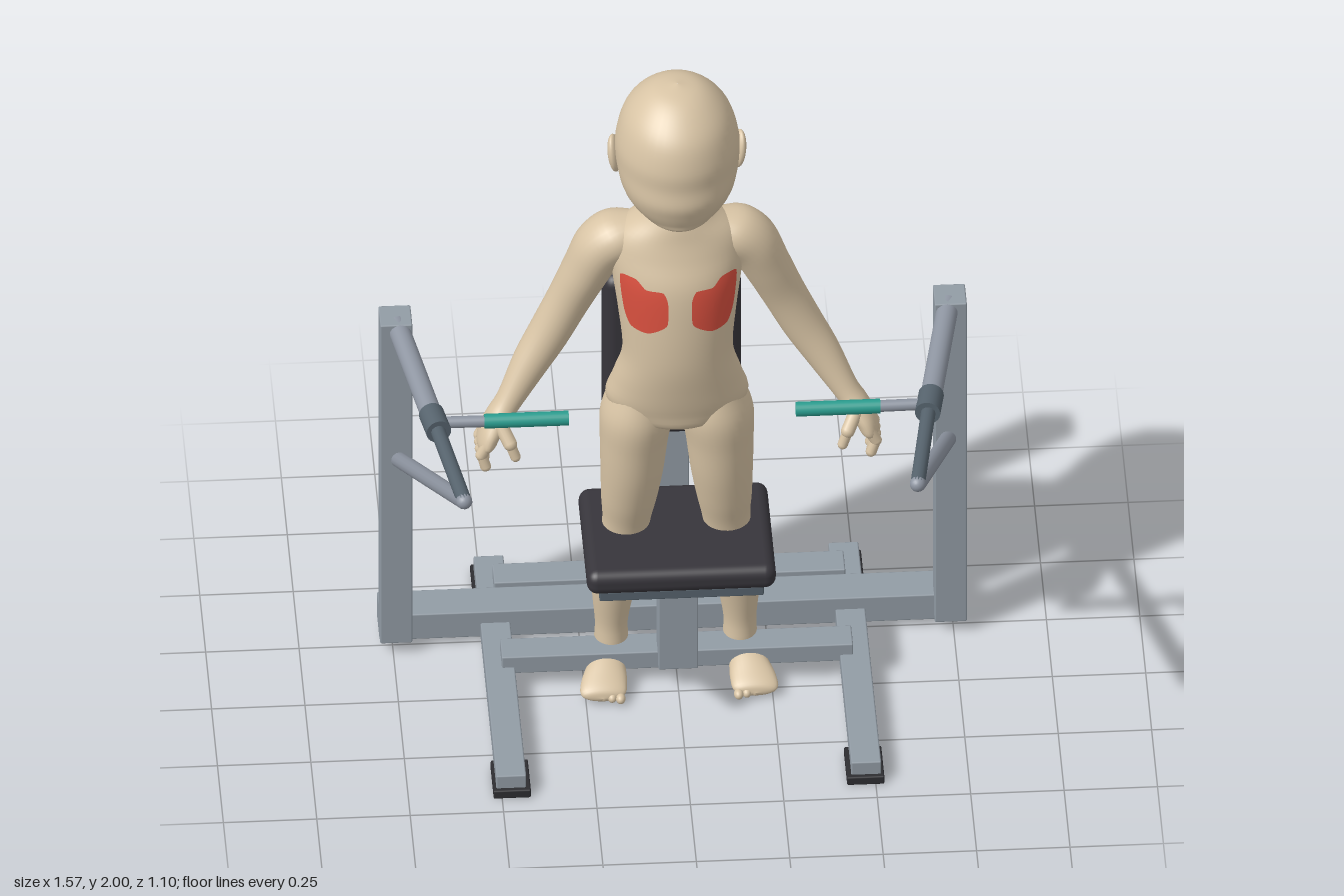
import * as THREE from 'three';
import { RoundedBoxGeometry } from 'three/addons/geometries/RoundedBoxGeometry.js';

const mat = (name, color, side = THREE.FrontSide) => {
  const m = new THREE.MeshStandardMaterial({ color, side });
  m.name = name;
  return m;
};
const V = (x, y, z) => new THREE.Vector3(x, y, z);

// Smooth cross-section at parameter t through rows of [x, y, z, rx, rz, tilt]
function sampler(rows) {
  const pos = new THREE.CatmullRomCurve3(rows.map(r => V(r[0], r[1], r[2])), false, 'catmullrom', 0.5);
  const rad = new THREE.CatmullRomCurve3(rows.map(r => V(r[3], r[4], r[5] || 0)), false, 'catmullrom', 0.5);
  return t => ({ p: pos.getPoint(t), r: rad.getPoint(t) });
}

// Closed skin over elliptical rings, listed from top to bottom
function loft(rows, seg = 32, sub = 5) {
  const at = sampler(rows), n = (rows.length - 1) * sub, pts = [], idx = [];
  for (let i = 0; i <= n; i++) {
    const { p, r } = at(i / n);
    for (let j = 0; j < seg; j++) {
      const a = (j / seg) * Math.PI * 2, x = Math.max(r.x, 0.0005) * Math.cos(a);
      pts.push(p.x + x * Math.cos(r.z), p.y + x * Math.sin(r.z), p.z + Math.max(r.y, 0.0005) * Math.sin(a));
      if (i < n) {
        const A = i * seg + j, B = i * seg + (j + 1) % seg;
        idx.push(A, B, A + seg, B, B + seg, A + seg);
      }
    }
  }
  const g = new THREE.BufferGeometry();
  g.setAttribute('position', new THREE.Float32BufferAttribute(pts, 3));
  g.setIndex(idx);
  g.computeVertexNormals();
  return g;
}

const TORSO = [
  [0, 1.67, -0.085, 0.07, 0.065], [0, 1.6, -0.095, 0.075, 0.068], [0, 1.55, -0.095, 0.1, 0.09],
  [0, 1.5, -0.097, 0.16, 0.105], [0, 1.45, -0.095, 0.18, 0.12], [0, 1.37, -0.08, 0.174, 0.135],
  [0, 1.25, -0.063, 0.158, 0.131], [0, 1.13, -0.045, 0.148, 0.114], [0, 1.03, -0.062, 0.173, 0.118],
  [0, 0.95, -0.08, 0.19, 0.12], [0, 0.895, -0.08, 0.13, 0.1], [0, 0.875, -0.08, 0.001, 0.001]];
const HEAD = [
  [0, 2, -0.06, 0.001, 0.001], [0, 1.985, -0.06, 0.065, 0.07], [0, 1.95, -0.06, 0.112, 0.125],
  [0, 1.9, -0.06, 0.146, 0.168], [0, 1.83, -0.057, 0.165, 0.187], [0, 1.77, -0.052, 0.165, 0.183],
  [0, 1.72, -0.036, 0.156, 0.172], [0, 1.68, -0.024, 0.14, 0.15], [0, 1.645, -0.008, 0.11, 0.12],
  [0, 1.622, 0.02, 0.068, 0.078], [0, 1.613, 0.025, 0.001, 0.001]];
const LEG = [
  [0.1, 0.99, -0.075, 0.07, 0.09], [0.107, 0.9, -0.08, 0.097, 0.114], [0.115, 0.8, -0.08, 0.091, 0.105],
  [0.12, 0.7, -0.08, 0.084, 0.092], [0.127, 0.6, -0.09, 0.075, 0.08], [0.133, 0.52, -0.1, 0.065, 0.067],
  [0.142, 0.45, -0.11, 0.065, 0.066], [0.158, 0.36, -0.12, 0.068, 0.07], [0.168, 0.25, -0.125, 0.056, 0.056],
  [0.172, 0.15, -0.13, 0.044, 0.046], [0.172, 0.06, -0.135, 0.043, 0.05], [0.172, 0.02, -0.135, 0.001, 0.001]];
const ARM = [
  [0.1, 1.5, -0.11, 0.03, 0.05, 0.9], [0.15, 1.465, -0.115, 0.07, 0.082, 0.8], [0.205, 1.415, -0.12, 0.071, 0.083, 0.65],
  [0.245, 1.33, -0.125, 0.064, 0.074, 0.5], [0.29, 1.23, -0.13, 0.059, 0.062, 0.5], [0.34, 1.13, -0.125, 0.056, 0.058, 0.55],
  [0.395, 1.04, -0.105, 0.049, 0.052, 0.6], [0.45, 0.95, -0.07, 0.036, 0.041, 0.6], [0.478, 0.91, -0.055, 0.034, 0.05, 0.4],
  [0.502, 0.87, -0.045, 0.03, 0.06, 0.2], [0.513, 0.835, -0.043, 0.025, 0.057, 0], [0.515, 0.82, -0.043, 0.001, 0.001, 0]];
// Rows run from toe to heel, with height stored as -z before turning
const FOOT = [
  [0.205, 0.05, -0.02, 0.001, 0.001], [0.204, 0.04, -0.025, 0.055, 0.018], [0.2, 0.0, -0.035, 0.062, 0.03],
  [0.19, -0.06, -0.047, 0.052, 0.042], [0.178, -0.13, -0.05, 0.044, 0.046], [0.173, -0.175, -0.042, 0.037, 0.038],
  [0.172, -0.195, -0.04, 0.001, 0.001]];

// Patch wrapped on the front of the torso, as rings shrinking towards its middle
function chestPatch(s) {
  const outline = new THREE.CatmullRomCurve3([[0.156, 1.4], [0.115, 1.405], [0.09, 1.382], [0.045, 1.38], [0.032, 1.35],
    [0.035, 1.28], [0.085, 1.247], [0.13, 1.253], [0.147, 1.3]].map(p => V(p[0], p[1], 0)), true, 'catmullrom', 0.3);
  const at = sampler(TORSO), rings = 8, seg = 48, pts = [], idx = [];
  for (let i = 0; i <= rings; i++) for (let j = 0; j < seg; j++) {
    const q = outline.getPoint(j / seg).lerp(V(0.092, 1.325, 0), i / rings);
    let lo = 0, hi = 1;
    for (let k = 0; k < 25; k++) {
      const m = (lo + hi) / 2;
      if (at(m).p.y > q.y) lo = m; else hi = m;
    }
    const { p, r } = at(lo), u = q.x / (r.x + 0.004);
    pts.push(s * q.x, q.y, p.z + (r.y + 0.004) * Math.sqrt(Math.max(0, 1 - u * u)));
    if (i < rings) {
      const A = i * seg + j, B = i * seg + (j + 1) % seg;
      if (s > 0) idx.push(A, B, A + seg, B, B + seg, A + seg);
      else idx.push(A, A + seg, B, B, A + seg, B + seg);
    }
  }
  const g = new THREE.BufferGeometry();
  g.setAttribute('position', new THREE.Float32BufferAttribute(pts, 3));
  g.setIndex(idx);
  g.computeVertexNormals();
  return g;
}

export function createModel() {
  const root = new THREE.Group();
  root.name = 'chestPressMachineWithFigure';
  const steel = mat('frame steel', 0x929ca5), tube = mat('tube steel', 0x8e95a1), slate = mat('dark slate', 0x56636d);
  const pad = mat('upholstery', 0x37353b), rubber = mat('rubber', 0x2d2d31), teal = mat('teal grip', 0x2a9d8f);
  const skin = mat('skin', 0xd8c4a5), red = mat('muscle red', 0xd9503f, THREE.DoubleSide);

  const add = (name, geo, m, parent = root) => {
    const o = new THREE.Mesh(geo, m);
    o.name = name;
    parent.add(o);
    return o;
  };
  // Box given by its limits on each axis
  const box = (name, m, x0, x1, y0, y1, z0, z1, round = 0.004) =>
    add(name, new RoundedBoxGeometry(x1 - x0, y1 - y0, z1 - z0, round > 0.01 ? 4 : 1, round), m)
      .position.set((x0 + x1) / 2, (y0 + y1) / 2, (z0 + z1) / 2);
  // Round bar between two points
  const rod = (name, m, a, b, r, capsule = false) => {
    const len = a.distanceTo(b);
    const o = add(name, capsule ? new THREE.CapsuleGeometry(r, len, 6, 14) : new THREE.CylinderGeometry(r, r, len, 24), m);
    o.position.copy(a).add(b).multiplyScalar(0.5);
    o.quaternion.setFromUnitVectors(V(0, 1, 0), b.clone().sub(a).normalize());
  };
  const ball = (name, m, x, y, z, rx, ry, rz) => {
    const o = add(name, new THREE.SphereGeometry(1, 20, 14), m);
    o.position.set(x, y, z);
    o.scale.set(rx, ry, rz);
    return o;
  };

  // Base and uprights
  box('rearBeam', steel, -0.785, 0.785, 0.02, 0.103, -0.353, -0.244);
  box('columnBeam', steel, -0.47, 0.47, 0.045, 0.1, -0.46, -0.374);
  box('seatBeam', steel, -0.47, 0.47, 0.045, 0.1, -0.13, -0.045);
  box('backColumn', steel, -0.053, 0.053, 0.098, 1.505, -0.487, -0.39);
  // Seat and backrest
  box('seatColumn', steel, -0.053, 0.053, 0.065, 0.4, -0.11, -0.01);
  box('seatSleeve', slate, -0.063, 0.063, 0.335, 0.415, -0.122, 0.004);
  box('seatPlate', slate, -0.22, 0.22, 0.41, 0.44, -0.25, 0.13);
  box('seatCushion', pad, -0.253, 0.253, 0.432, 0.505, -0.263, 0.142, 0.03);
  box('backCushion', pad, -0.185, 0.185, 0.655, 1.19, -0.366, -0.262, 0.035);
  box('backBracket', slate, -0.12, 0.12, 0.81, 0.997, -0.435, -0.36);

  // Figure
  add('head', loft(HEAD, 40), skin);
  add('torso', loft(TORSO, 48), skin);

  for (const s of [-1, 1]) {
    const flip = rows => rows.map(r => [s * r[0], r[1], r[2], r[3], r[4], s * (r[5] || 0)]);
    const P = (x, y, z) => V(s * x, y, z);
    const sideBox = (name, m, x, w, ...rest) => box(name, m, s * x - w / 2, s * x + w / 2, ...rest);

    // Frame sides
    sideBox('footRail', steel, 0.475, 0.08, 0.018, 0.066, -0.54, 0.43);
    sideBox('rearFootPad', rubber, 0.473, 0.1, 0, 0.026, -0.557, -0.42);
    sideBox('frontFootPad', rubber, 0.473, 0.1, 0, 0.026, 0.305, 0.443);
    sideBox('sidePost', steel, 0.742, 0.086, 0.035, 1.105, -0.3, -0.21);

    // Press arm
    const joint = P(0.662, 1.05, 0.15), tip = P(0.607, 1.072, 0.525);
    rod('pressArmTube', tube, P(0.738, 1.078, -0.25), P(0.67, 1.052, 0.11), 0.029);
    rod('armCollar', slate, P(0.669, 1.051, 0.11), P(0.654, 1.053, 0.195), 0.034);
    rod('frontBar', slate, joint, tip, 0.02, true);
    rod('braceBar', tube, P(0.607, 1.07, 0.525), P(0.735, 0.65, -0.215), 0.022, true);
    rod('handleStem', tube, joint, P(0.52, 1.05, 0.152), 0.016);
    rod('handleGrip', teal, P(0.53, 1.05, 0.152), P(0.304, 1.05, 0.152), 0.02);

    // Limbs
    add('arm', loft(flip(ARM), 28), skin);
    add('leg', loft(flip(LEG), 32), skin);
    add('foot', loft(flip(FOOT), 28).rotateX(Math.PI / 2), skin);
    for (let i = 0; i < 5; i++)
      ball('toe', skin, s * (0.158 + i * 0.022), 0.018, 0.046 - i * 0.007, 0.013, 0.014, 0.018);
    for (let i = 0; i < 4; i++) {
      const z = -0.09 + i * 0.03, y = 0.785 - 0.012 * (i % 3);
      rod('finger', skin, P(0.512, 0.85, z), P(0.528, 0.82, z), 0.016, true);
      rod('fingerTip', skin, P(0.528, 0.82, z), P(0.516, y, z + 0.004), 0.014, true);
    }
    rod('thumb', skin, P(0.475, 0.905, -0.015), P(0.452, 0.865, 0.015), 0.019, true);
    rod('thumbTip', skin, P(0.452, 0.865, 0.015), P(0.438, 0.825, 0.02), 0.014, true);
    const ear = ball('ear', skin, s * 0.167, 1.755, -0.085, 0.016, 0.055, 0.033);
    ear.rotation.set(-0.15, s * 0.3, s * -0.12);
    add('chestMuscle', chestPatch(s), red);
  }
  return root;
}
